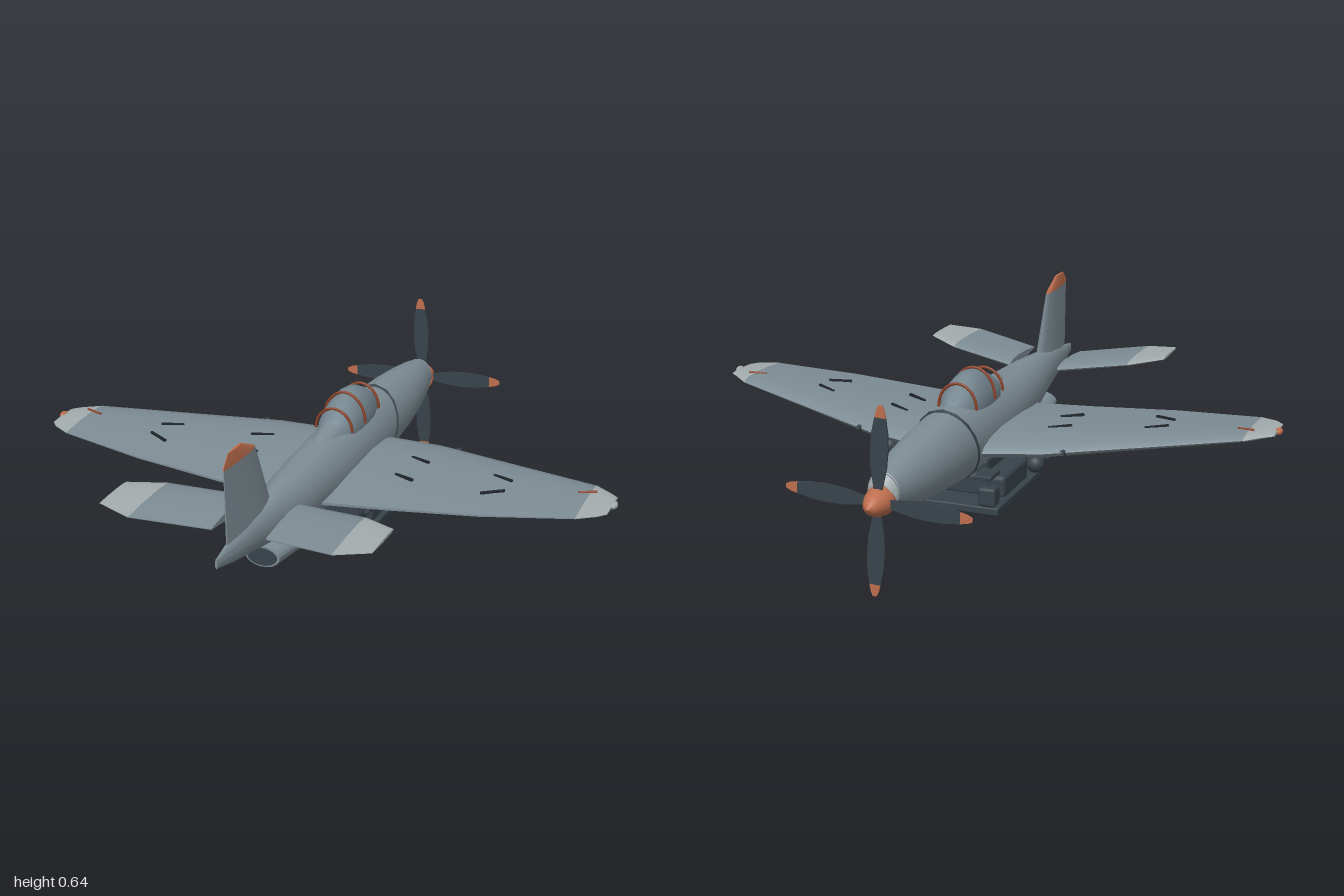
import * as THREE from 'three';
import { toCreasedNormals } from 'three/addons/utils/BufferGeometryUtils.js';
import { RoundedBoxGeometry } from 'three/addons/geometries/RoundedBoxGeometry.js';

const mat = (name, color) => new THREE.MeshStandardMaterial({ name, color });
const V = (x, y, z) => new THREE.Vector3(x, y, z);

// Skin a list of equal-length point loops, with a fan cap at each end
function loft(loops, crease = 0.7) {
  const n = loops[0].length, pos = [], idx = [];
  loops.forEach(l => l.forEach(p => pos.push(p.x, p.y, p.z)));
  for (let i = 0; i < loops.length - 1; i++)
    for (let j = 0; j < n; j++) {
      const a = i * n + j, b = i * n + (j + 1) % n;
      idx.push(a, b, b + n, a, b + n, a + n);
    }
  [0, loops.length - 1].forEach(i => {
    const c = loops[i].reduce((s, p) => s.add(p), V(0, 0, 0)).divideScalar(n);
    const k = pos.length / 3;
    pos.push(c.x, c.y, c.z);
    for (let j = 0; j < n; j++) {
      const a = i * n + j, b = i * n + (j + 1) % n;
      i === 0 ? idx.push(k, b, a) : idx.push(k, a, b);
    }
  });
  // A negative volume means the faces point inward, so turn them round
  const P = i => V().fromArray(pos, idx[i] * 3);
  let volume = 0;
  for (let i = 0; i < idx.length; i += 3) volume += P(i).dot(P(i + 1).cross(P(i + 2)));
  if (volume < 0) idx.reverse();
  const g = new THREE.BufferGeometry();
  g.setAttribute('position', new THREE.Float32BufferAttribute(pos, 3));
  g.setIndex(idx);
  return toCreasedNormals(g, crease);
}

// Oval cross-section of a body running along z
const oval = ([z, bottom, top, rx]) => Array.from({ length: 32 }, (_, i) => {
  const a = i / 32 * Math.PI * 2;
  return V(Math.cos(a) * rx, (top + bottom) / 2 + Math.sin(a) * (top - bottom) / 2, z);
});

// Aerofoil outline: [chord fraction, half thickness]
const FOIL = [[0, 0], [0.03, 0.45], [0.12, 0.8], [0.32, 1], [0.65, 0.75], [1, 0.12]];
const foilLoop = f => [...FOIL.map(([t, h]) => f(t, h)),
  ...FOIL.slice(1).reverse().map(([t, h]) => f(t, -h))];
const wingLoop = side => ([x, lead, trail, y, thick]) =>
  foilLoop((t, h) => V(side * x, y + h * thick / 2, lead + (trail - lead) * t));
const finLoop = ([y, lead, trail, thick]) =>
  foilLoop((t, h) => V(h * thick / 2, y, lead + (trail - lead) * t));

export function createModel() {
  const group = new THREE.Group();
  group.name = 'propellerPlane';
  const body = mat('blueGrey', 0x7d8c94), pale = mat('paleGrey', 0xa3abac);
  const dark = mat('darkSlate', 0x38434a), black = mat('seamBlack', 0x20262a);
  const orange = mat('rustOrange', 0xbe6e4e), trim = mat('canopyTrim', 0x8a4128);
  const glass = mat('canopyGlass', 0x75868f);

  const add = (name, geo, material, x = 0, y = 0, z = 0, parent = group) => {
    const m = new THREE.Mesh(geo, material);
    m.name = name;
    m.position.set(x, y, z);
    parent.add(m);
    return m;
  };
  const tube = (name, pts, r, material) => add(name, new THREE.TubeGeometry(
    new THREE.CatmullRomCurve3(pts, false, 'catmullrom', 0.1), 16, r, 8), material);
  const box = (name, w, h, d, material, x, y, z) =>
    add(name, new RoundedBoxGeometry(w, h, d, 2, Math.min(w, h, d) * 0.2), material, x, y, z);

  // Fuselage: [z, bottom, top, half width]
  add('fuselage', loft([
    [-0.81, 0.265, 0.385, 0.05], [-0.75, 0.245, 0.4, 0.064], [-0.65, 0.225, 0.415, 0.08],
    [-0.5, 0.205, 0.43, 0.096], [-0.3, 0.185, 0.443, 0.104], [-0.1, 0.182, 0.437, 0.103],
    [0.1, 0.19, 0.428, 0.099], [0.25, 0.205, 0.422, 0.092], [0.4, 0.22, 0.414, 0.08],
    [0.55, 0.242, 0.402, 0.056], [0.7, 0.266, 0.385, 0.034], [0.82, 0.288, 0.362, 0.019],
    [0.92, 0.312, 0.345, 0.004]].map(oval)), body);
  add('noseRing', loft([[-0.83, 0.262, 0.36, 0.04], [-0.805, 0.262, 0.388, 0.052]].map(oval)), pale);
  add('tailLight', new THREE.SphereGeometry(0.012, 12, 8), pale, 0, 0.298, 0.81);

  // Radiator under the rear fuselage
  add('radiator', loft([
    [0.255, 0.17, 0.225, 0.055], [0.275, 0.157, 0.24, 0.075], [0.33, 0.154, 0.246, 0.08],
    [0.45, 0.16, 0.25, 0.075], [0.6, 0.172, 0.243, 0.058]].map(oval)), body);
  add('radiatorOutlet', loft([[0.595, 0.178, 0.237, 0.05], [0.604, 0.178, 0.237, 0.05]].map(oval)), dark);

  // Canopy, fairing and hoops
  add('canopy', loft([
    [-0.29, 0.39, 0.44, 0.02], [-0.27, 0.36, 0.455, 0.044], [-0.22, 0.33, 0.485, 0.062],
    [-0.17, 0.31, 0.51, 0.07], [-0.12, 0.3, 0.518, 0.072], [-0.06, 0.31, 0.508, 0.071],
    [0.0, 0.33, 0.48, 0.066], [0.04, 0.35, 0.458, 0.052], [0.065, 0.38, 0.44, 0.025]].map(oval)), glass);
  add('canopyFairing', loft([
    [-0.02, 0.34, 0.455, 0.05], [0.06, 0.34, 0.447, 0.05], [0.2, 0.35, 0.42, 0.03]].map(oval)), body);
  [[-0.22, 0.498, 0.067], [-0.075, 0.515, 0.075], [0.02, 0.49, 0.066]].forEach(([z, top, rx]) =>
    tube('canopyHoop', Array.from({ length: 13 }, (_, i) => {
      const a = i / 12 * Math.PI;
      return V(Math.cos(a) * rx, 0.415 + Math.sin(a) * (top - 0.415), z);
    }), 0.005, trim));

  // Sloping band round the fuselage ahead of the wing
  tube('fuselageBand', Array.from({ length: 25 }, (_, i) => {
    const a = i / 24 * Math.PI * 2;
    return V(Math.cos(a) * 0.105, 0.313 + Math.sin(a) * 0.131, -0.3 - Math.sin(a) * 0.05);
  }), 0.005, dark);

  // Fin with coloured tip: [y, leading z, trailing z, thickness]
  add('fin', loft([[0.34, 0.53, 0.845, 0.045], [0.405, 0.555, 0.848, 0.038],
    [0.6, 0.64, 0.855, 0.02]].map(finLoop)), body);
  add('finTip', loft([[0.6, 0.64, 0.855, 0.021], [0.612, 0.663, 0.855, 0.02],
    [0.645, 0.735, 0.825, 0.01]].map(finLoop)), orange);

  // Everything that comes in a left and right pair
  [1, -1].forEach(s => {
    const foil = wingLoop(s);
    // Wing: [x, leading z, trailing z, y, thickness]
    add('wing', loft([[0.08, -0.268, 0.317, 0.283, 0.082], [0.3, -0.235, 0.308, 0.298, 0.066],
      [0.6, -0.125, 0.295, 0.323, 0.045], [0.9, -0.015, 0.25, 0.348, 0.026]].map(foil)), body);
    add('wingTip', loft([[0.9, -0.015, 0.25, 0.348, 0.027], [0.96, 0.035, 0.218, 0.352, 0.02],
      [0.985, 0.055, 0.19, 0.352, 0.011]].map(foil)), pale);
    add('tailplane', loft([[0.09, 0.505, 0.767, 0.358, 0.034],
      [0.335, 0.565, 0.84, 0.386, 0.022]].map(foil)), body);
    add('tailplaneTip', loft([[0.335, 0.565, 0.84, 0.386, 0.022],
      [0.45, 0.635, 0.81, 0.4, 0.01]].map(foil)), pale);

    // Wing tip lamp and marker
    const lamp = add('wingTipLamp', new THREE.SphereGeometry(0.012, 12, 8), s < 0 ? orange : pale,
      s * 0.988, 0.352, 0.115);
    lamp.scale.z = 1.8;
    tube('wingMarker', [V(s * 0.86, 0.358, 0.077), V(s * 0.92, 0.363, 0.062)], 0.005, trim);

    // Seams on the wing: [x, y, z, slope]
    [[0.6, 0.345, 0.035, 1], [0.6, 0.342, 0.145, -1], [0.29, 0.33, -0.035, 1], [0.285, 0.325, 0.108, 1]]
      .forEach(([x, y, z, k]) => {
        const seam = add('wingSeam', new THREE.BoxGeometry(0.08, 0.009, 0.009), black, s * x, y, z);
        seam.rotation.set(0, -s * k * 0.46, s * 0.075, 'YXZ');
      });

    // Wing gun, underwing pod and its barrel
    tube('wingGun', [V(s * 0.36, 0.302, -0.15), V(s * 0.36, 0.302, -0.23)], 0.01, dark);
    add('podBall', new THREE.SphereGeometry(0.03, 20, 14), dark, s * 0.26, 0.248, -0.19);
    tube('podBarrel', [V(s * 0.26, 0.242, -0.17), V(s * 0.26, 0.24, -0.1)], 0.008, dark);
    add('podEnd', new THREE.SphereGeometry(0.015, 12, 8), dark, s * 0.26, 0.24, -0.095);

    // Side box, rail and bent support pipe of the carrier
    box('sideBox', 0.06, 0.065, 0.055, dark, s * 0.13, 0.147, -0.272);
    tube('sideStrut', [V(s * 0.13, 0.17, -0.272), V(s * 0.13, 0.225, -0.272)], 0.008, dark);
    box('sideRail', 0.06, 0.014, 0.085, dark, s * 0.13, 0.226, -0.29);
    tube('supportPipe', [V(s * 0.14, 0.27, 0.125), V(s * 0.14, 0.175, 0.12),
      V(s * 0.14, 0.157, 0.1), V(s * 0.14, 0.155, 0.03)], 0.009, dark);
  });

  // Equipment carrier under the belly
  box('carrierBox', 0.3, 0.08, 0.23, dark, 0, 0.143, -0.068);
  box('carrierTray', 0.335, 0.027, 0.44, dark, 0, 0.098, -0.07);
  box('carrierMount', 0.16, 0.06, 0.18, dark, 0, 0.195, -0.068);

  // Propeller and spinner
  const prop = new THREE.Group();
  prop.name = 'propeller';
  prop.position.set(0, 0.305, -0.848);
  prop.rotation.z = 0.05;
  group.add(prop);
  const plate = half => {
    const outline = [...half.map(([r, w]) => [w, r]), ...half.slice().reverse().map(([r, w]) => [-w, r])];
    return new THREE.ExtrudeGeometry(new THREE.Shape(outline.map(p => new THREE.Vector2(...p))),
      { depth: 0.006, bevelEnabled: false }).translate(0, 0, -0.003);
  };
  const blade = plate([[0.02, 0.01], [0.06, 0.017], [0.11, 0.026], [0.17, 0.029], [0.22, 0.026], [0.265, 0.018]]);
  const bladeTip = plate([[0.265, 0.018], [0.288, 0.013], [0.303, 0.006]]);
  for (let i = 0; i < 4; i++) {
    add('propellerBlade', blade, dark, 0, 0, 0, prop).rotation.z = i * Math.PI / 2;
    add('propellerBladeTip', bladeTip, orange, 0, 0, 0, prop).rotation.z = i * Math.PI / 2;
  }
  const profile = [[0, -0.03], [0.046, -0.03], [0.047, -0.015], [0.042, 0.01], [0.032, 0.038], [0.018, 0.06], [0, 0.073]];
  add('spinner', new THREE.LatheGeometry(profile.map(p => new THREE.Vector2(...p)), 32).rotateX(-Math.PI / 2),
    orange, 0, 0, 0, prop);

  return group;
}
